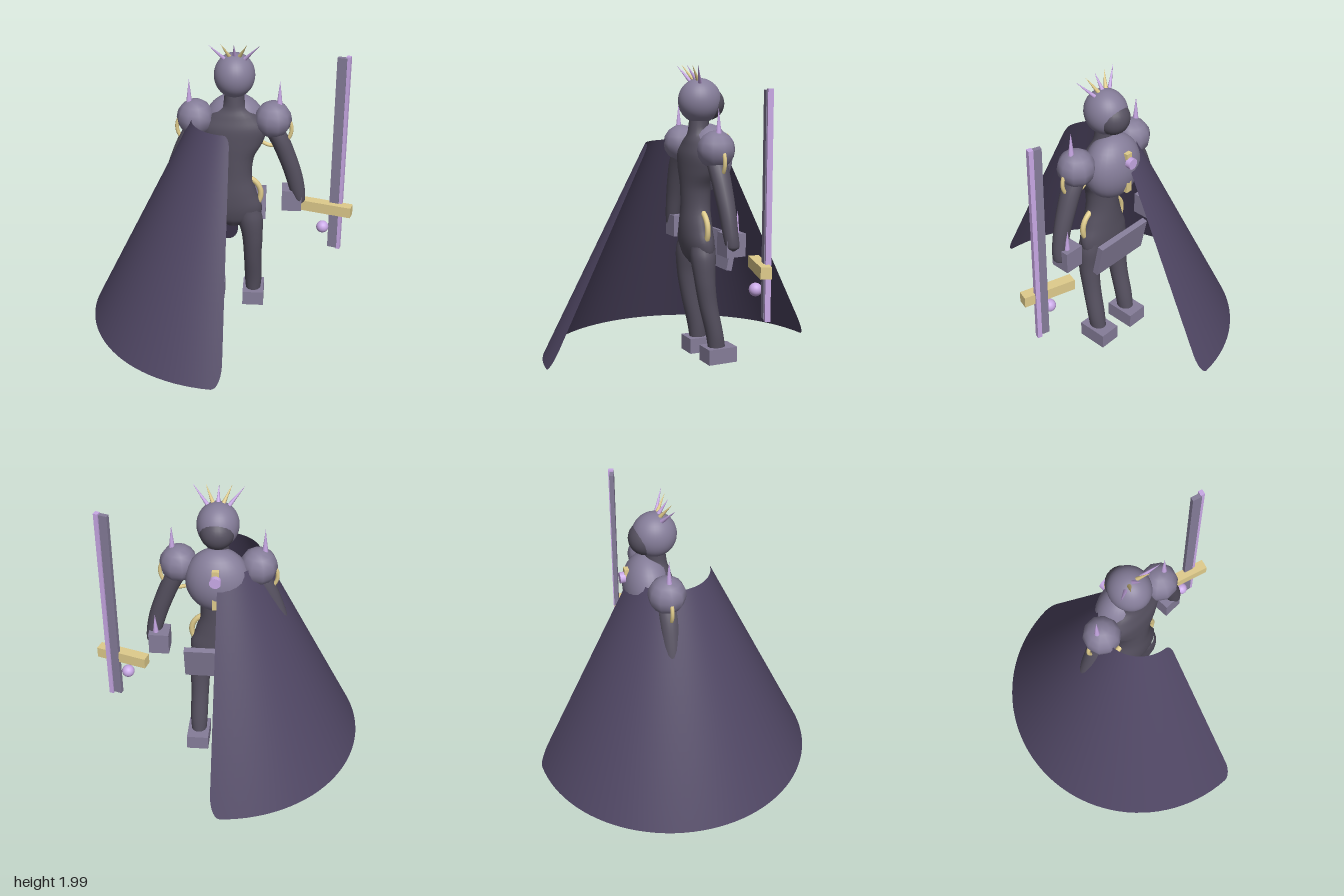
import * as THREE from 'three';

const CX = 0.07; // body midline
const mat = (c) => new THREE.MeshStandardMaterial({ color: c });

export function createModel() {
  const root = new THREE.Group();
  const skin = mat(0x55505f), armour = mat(0x857d99), gold = mat(0xe0cc8c), violet = mat(0xc9a9e6);
  const cloth = mat(0x4f4663);
  cloth.side = THREE.DoubleSide;

  const add = (name, geo, material, x = 0, y = 0, z = 0, parent = root) => {
    const m = new THREE.Mesh(geo, material);
    m.name = name;
    m.position.set(x, y, z);
    parent.add(m);
    return m;
  };
  const box = (w, h, d) => new THREE.BoxGeometry(w, h, d);

  // Smooth limb or trunk: horizontal ellipses [x, y, z, rx, rz], from bottom to top
  const loft = (keys, rows = 28, n = 20) => {
    const path = new THREE.CatmullRomCurve3(keys.map((k) => new THREE.Vector3(k[0], k[1], k[2])), false, 'centripetal');
    const size = new THREE.CatmullRomCurve3(keys.map((k, i) => new THREE.Vector3(k[3], i, k[4])), false, 'catmullrom', 0.4);
    const pos = [], idx = [];
    for (let i = 0; i <= rows; i++) {
      const p = path.getPoint(i / rows), s = size.getPoint(i / rows);
      for (let j = 0; j < n; j++) {
        const a = (j / n) * Math.PI * 2;
        pos.push(p.x + Math.abs(s.x) * Math.cos(a), p.y, p.z + Math.abs(s.z) * Math.sin(a));
        if (i === rows) continue;
        const q = i * n + j, r = i * n + ((j + 1) % n);
        idx.push(q, q + n, r, r, q + n, r + n);
      }
    }
    const g = new THREE.BufferGeometry();
    g.setAttribute('position', new THREE.Float32BufferAttribute(pos, 3));
    g.setIndex(idx);
    g.computeVertexNormals();
    return g;
  };

  // Spike from a base point to a tip
  const spike = (name, base, tip, r, material) => {
    const a = new THREE.Vector3(...base), d = new THREE.Vector3(...tip).sub(a);
    const m = add(name, new THREE.ConeGeometry(r, d.length(), 8), material);
    m.position.copy(a).addScaledVector(d, 0.5);
    m.quaternion.setFromUnitVectors(new THREE.Vector3(0, 1, 0), d.normalize());
  };

  // Trunk and neck
  add('torso', loft([
    [CX, 0.67, -0.09, 0.06, 0.06], [CX, 0.73, -0.085, 0.18, 0.09], [CX, 0.82, -0.075, 0.195, 0.1],
    [CX, 0.92, -0.07, 0.16, 0.1], [CX, 1.05, -0.07, 0.125, 0.095], [CX, 1.18, -0.07, 0.135, 0.095],
    [CX, 1.3, -0.075, 0.195, 0.1], [CX, 1.4, -0.08, 0.22, 0.1], [CX, 1.48, -0.09, 0.16, 0.09],
    [CX, 1.55, -0.09, 0.075, 0.07], [CX, 1.68, -0.1, 0.065, 0.065],
  ], 44, 24), skin);
  const upperBack = add('upperBack', new THREE.SphereGeometry(1, 28, 20), armour, CX, 1.38, -0.155);
  upperBack.scale.set(0.21, 0.225, 0.158);

  // Head, hair knot and crown
  add('head', new THREE.SphereGeometry(0.135, 32, 24), armour, CX, 1.755, -0.1).scale.set(1, 1.1, 1.08);
  add('hairKnot', new THREE.SphereGeometry(0.11, 24, 16), skin, CX, 1.735, -0.16);
  for (let i = -2; i <= 2; i++) {
    const drop = 0.006 * i * i;
    spike('crownSpike', [CX + i * 0.032, 1.895 - drop, -0.07], [CX + i * 0.084, 1.99, -0.005], 0.014,
      i % 2 ? gold : violet);
  }

  // Paired parts, mirrored about the midline
  for (const s of [1, -1]) {
    const X = (d) => CX + s * d;
    add('leg', loft([
      [X(0.142), 0.08, -0.165, 0.052, 0.06], [X(0.142), 0.2, -0.145, 0.06, 0.06],
      [X(0.137), 0.4, -0.1, 0.062, 0.064], [X(0.133), 0.58, -0.075, 0.072, 0.072],
      [X(0.115), 0.72, -0.072, 0.088, 0.085], [X(0.1), 0.8, -0.075, 0.08, 0.085],
    ]), skin);
    add('foot', box(0.15, 0.105, 0.21), armour, X(0.143), 0.0525, -0.175);

    add('arm', loft([
      [X(0.455), 0.825, -0.112, 0.012, 0.012], [X(0.452), 0.85, -0.112, 0.038, 0.045],
      [X(0.435), 0.93, -0.105, 0.053, 0.05], [X(0.405), 1.05, -0.1, 0.06, 0.055],
      [X(0.36), 1.18, -0.095, 0.064, 0.062], [X(0.3), 1.32, -0.09, 0.068, 0.068],
      [X(0.23), 1.43, -0.09, 0.07, 0.07],
    ]), skin);
    add('hand', box(0.135, 0.15, 0.135), armour, X(0.398), 0.86, -0.132);
    spike('forearmSpike', [X(0.42), 0.93, -0.155], [X(0.42), 1.08, -0.165], 0.02, violet);

    add('shoulderGuard', new THREE.SphereGeometry(0.125, 10, 8), armour, X(0.258), 1.455, -0.09);
    spike('shoulderSpike', [X(0.298), 1.54, -0.087], [X(0.298), 1.725, -0.087], 0.022, violet);

    // Gold trim arcs, opening towards the midline
    const arc = (name, radius, tube, from, to, d, y, z) => {
      const g = new THREE.TorusGeometry(radius, tube, 10, 28, to - from).rotateZ(from);
      add(name, g, gold, X(d), y, z).rotation.y = s > 0 ? 0 : Math.PI;
    };
    arc('shoulderTrim', 0.12, 0.013, -2.4, 0.6, 0.262, 1.385, -0.09);
    arc('hipTrim', 0.125, 0.019, -1.1, 1.25, 0.062, 0.91, -0.07);
  }

  // Plate behind the hips
  add('hipPlate', box(0.44, 0.24, 0.04), armour, CX, 0.757, -0.235).rotation.x = -0.2;

  // Back ornament
  add('backBar', box(0.045, 0.29, 0.03), gold, CX, 1.385, -0.29);
  add('backGem', new THREE.CylinderGeometry(0.037, 0.037, 0.035, 16).rotateX(Math.PI / 2), violet, CX, 1.465, -0.318);

  // Half-cone cape with rounded corners
  const cape = new THREE.PlaneGeometry(1, 1, 48, 40), p = cape.attributes.position;
  const y0 = 0.035, y1 = 1.48;
  const inset = (d, r, h) => { // arc length cut from a side edge near a corner
    const t = 1 - Math.min(d / h, 1);
    return r * (1 - Math.sqrt(1 - t * t));
  };
  for (let i = 0; i < p.count; i++) {
    const v = 0.5 - 0.5 * Math.cos((p.getY(i) + 0.5) * Math.PI);
    const y = y0 + (y1 - y0) * v, r = 0.97 + (0.265 - 0.97) * v;
    const cut = (inset(y - y0, 0.07, 0.15) + inset(y1 - y, 0.035, 0.07)) / r;
    const a = p.getX(i) * (Math.PI - 2 * cut);
    p.setXYZ(i, 0.06 - r * Math.cos(a), y, r * Math.sin(a));
  }
  cape.computeVertexNormals();
  add('cape', cape, cloth);

  // Sword floating beside the left hand
  const sword = new THREE.Group();
  sword.name = 'sword';
  sword.position.set(0.715, 0.752, -0.2);
  sword.rotation.y = -0.294;
  root.add(sword);
  add('crossguard', box(0.355, 0.075, 0.07), gold, 0, 0, 0, sword);
  add('blade', box(0.065, 1.415, 0.03), armour, 0.05, 0.392, -0.022, sword);
  add('bladeEdge', box(0.03, 1.435, 0.035), violet, 0.09, 0.392, -0.03, sword);
  add('pommel', new THREE.SphereGeometry(0.043, 20, 14), violet, 0.692, 0.605, -0.185);

  return root;
}
